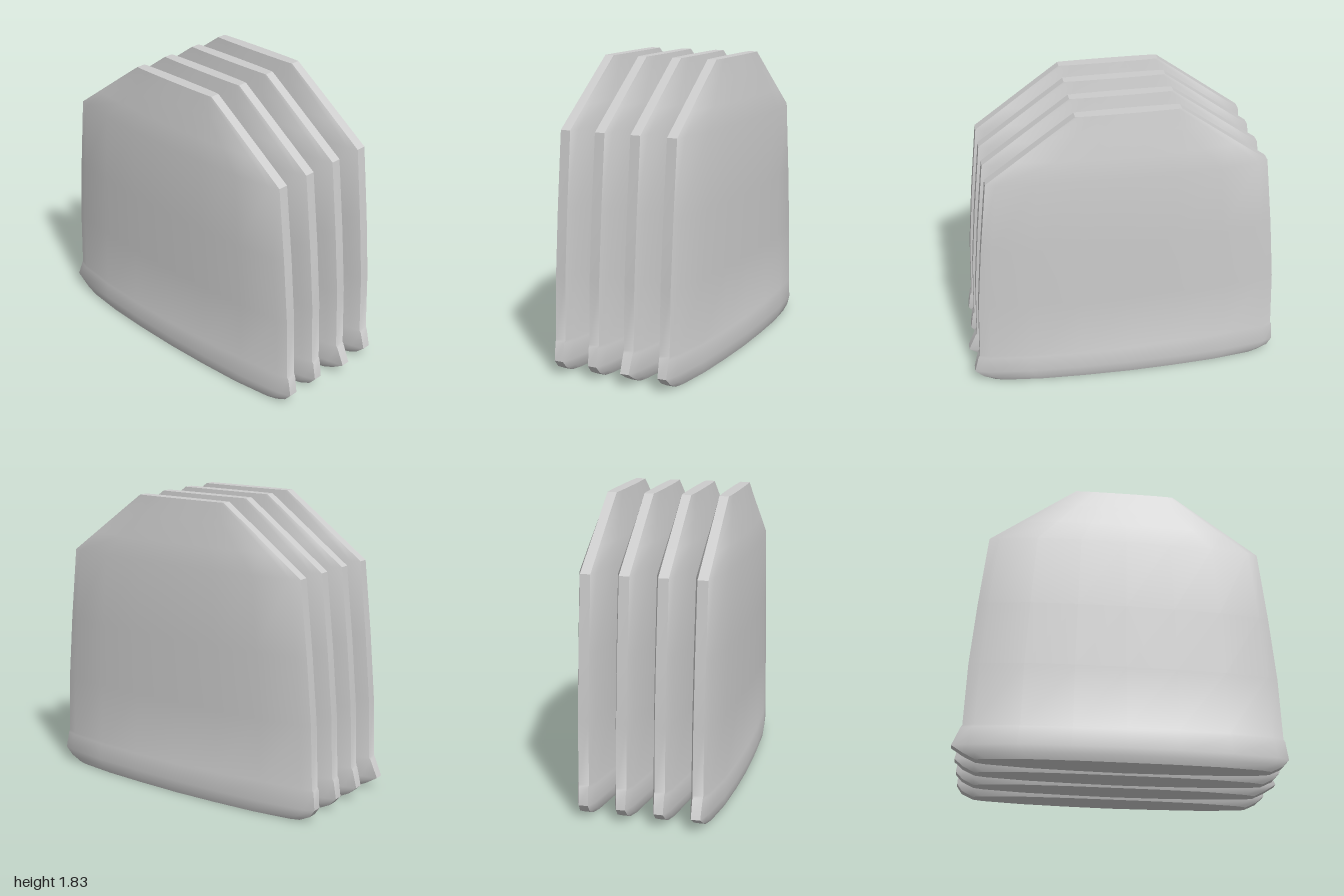
import * as THREE from 'three';
import { toCreasedNormals } from 'three/addons/utils/BufferGeometryUtils.js';

// Rows from bottom to top: [height, half width, half thickness at middle, edge thickness ratio]
const ROWS = [
  [0.01, 0.86, 0.092, 0.3],
  [0.045, 0.93, 0.107, 0.28],
  [0.09, 0.97, 0.111, 0.25],
  [0.2, 0.953, 0.111, 0.27],
  [0.215, 0.943, 0.106, 0.3],
  [0.6, 0.928, 0.106, 0.3],
  [1.0, 0.892, 0.106, 0.3],
  [1.45, 0.842, 0.104, 0.3],
  [1.58, 0.665, 0.084, 0.36],
  [1.72, 0.475, 0.058, 0.5],
  [1.84, 0.31, 0.036, 0.8],
];
// Cross-section: position across the width, and how far the belly swells there
const U = [-1, -0.93, -0.65, -0.33, 0, 0.33, 0.65, 0.93, 1];
const SWELL = [0, 0.3, 0.74, 0.93, 1, 0.93, 0.74, 0.3, 0];

// Lens-shaped slab lofted through the rows; the lower corners flare to the given tips
function slabGeometry(rightTip, leftTip) {
  const n = U.length, ring = 2 * n, pos = [], idx = [];
  ROWS.forEach(([y, w, t, edge], r) => {
    for (let k = 0; k < ring; k++) {
      const front = k < n, i = front ? k : ring - 1 - k;
      let x = U[i] * w;
      if (r === 2 && i === 0) x = -rightTip;
      if (r === 2 && i === n - 1) x = leftTip;
      const z = t * (edge + (1 - edge) * SWELL[i]);
      pos.push(x, r === 0 ? y - 0.004 * (1 - Math.abs(U[i])) : y, front ? z : -z);
    }
  });
  // Sides
  for (let r = 0; r < ROWS.length - 1; r++) {
    for (let k = 0; k < ring; k++) {
      const a = r * ring + k, b = r * ring + (k + 1) % ring;
      idx.push(a, b, b + ring, a, b + ring, a + ring);
    }
  }
  // Bottom and top caps
  const top = (ROWS.length - 1) * ring;
  for (let i = 0; i < n - 1; i++) {
    const f = i, g = i + 1, c = ring - 2 - i, d = ring - 1 - i;
    idx.push(f, c, g, f, d, c);
    idx.push(top + f, top + g, top + c, top + f, top + c, top + d);
  }
  const geo = new THREE.BufferGeometry();
  geo.setAttribute('position', new THREE.Float32BufferAttribute(pos, 3));
  geo.setIndex(idx);
  return toCreasedNormals(geo, Math.PI / 5);
}

export function createModel() {
  const model = new THREE.Group();
  model.name = 'slabStack';
  const grey = new THREE.MeshStandardMaterial({ color: 0xcccccc });
  grey.name = 'light grey';

  // Four upright slabs in a row: [z, right corner tip, left corner tip]
  const slabs = [
    [0.341, 1.0, 0.97],
    [0.115, 0.98, 0.97],
    [-0.114, 0.97, 1.0],
    [-0.344, 0.96, 0.98],
  ];
  slabs.forEach(([z, rightTip, leftTip], i) => {
    const slab = new THREE.Mesh(slabGeometry(rightTip, leftTip), grey);
    slab.name = `slab${i + 1}`;
    slab.position.z = z;
    model.add(slab);
  });
  return model;
}
